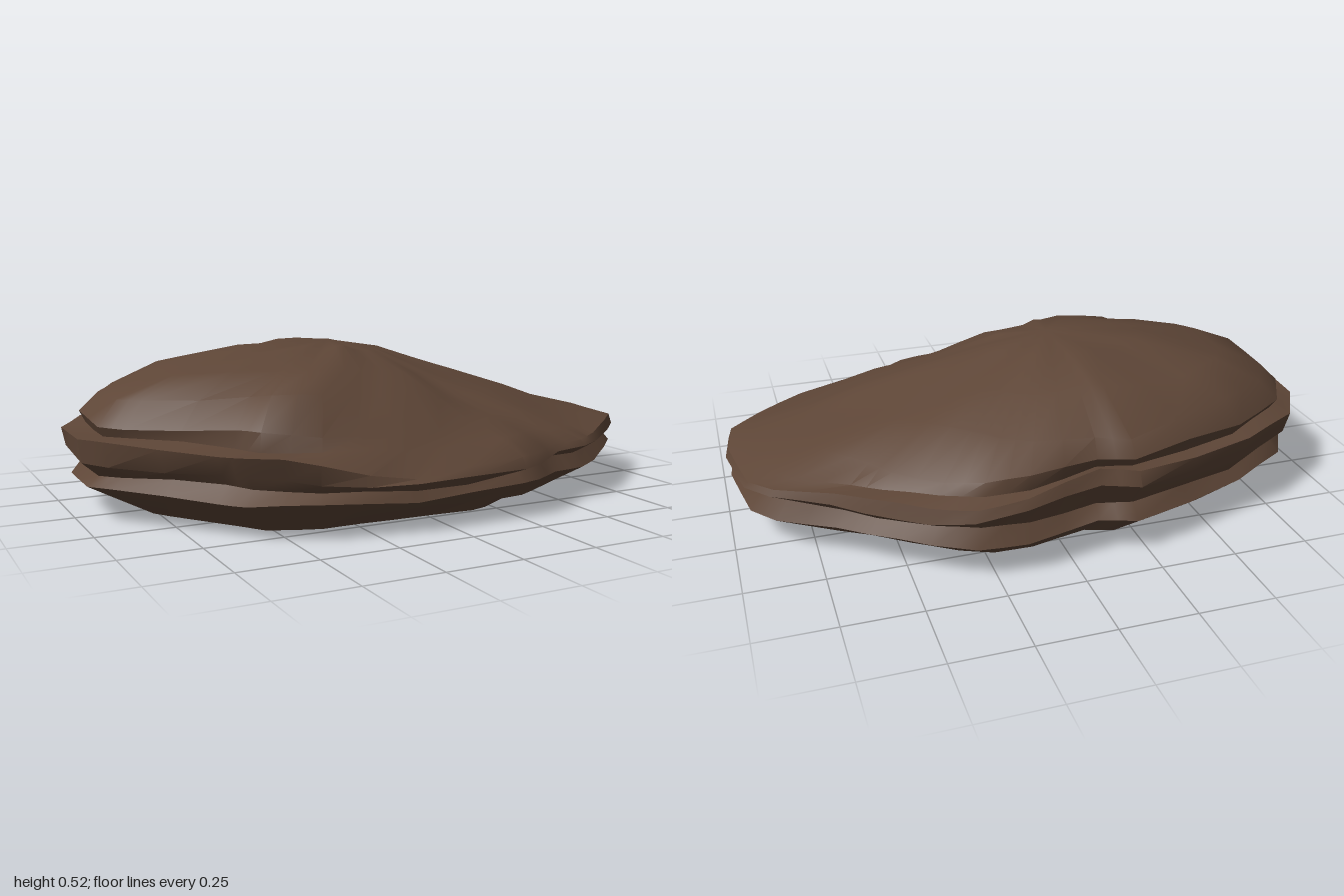
import * as THREE from 'three';
import { toCreasedNormals } from 'three/addons/utils/BufferGeometryUtils.js';

// Plan outline of the rock as [x, z], starting at +x and turning towards +z
const OUTLINE = [
  [0.99, 0.05], [0.97, 0.2], [0.86, 0.31], [0.7, 0.45], [0.6, 0.51], [0.47, 0.53], [0.34, 0.62],
  [0.26, 0.65], [-0.13, 0.66], [-0.43, 0.61], [-0.62, 0.51], [-0.68, 0.43], [-0.94, 0.16],
  [-1, 0.08], [-0.99, -0.2], [-0.89, -0.37], [-0.65, -0.52], [-0.21, -0.66], [-0.09, -0.62],
  [0.16, -0.67], [0.32, -0.66], [0.45, -0.6], [0.62, -0.48], [0.71, -0.4], [0.88, -0.29], [0.95, -0.2],
];

// Scale of the flat base in eight directions, 45 degrees apart
const BASE = [0.8, 0.76, 0.72, 0.8, 0.73, 0.78, 0.76, 0.78];

// Vertical profiles in the same directions, as [share of outline, height]:
// low rim, notch, middle rim, its top, inset, top rim, shoulder, upper dome, crown
const PROFILES = [
  [[0.99, 0.11], [0.95, 0.17], [1, 0.185], [0.99, 0.21], [0.92, 0.23], [0.76, 0.28], [0.6, 0.34], [0.41, 0.4], [0.2, 0.48]],
  [[0.99, 0.11], [0.95, 0.15], [1, 0.17], [0.98, 0.2], [0.88, 0.24], [0.74, 0.29], [0.57, 0.35], [0.4, 0.42], [0.2, 0.49]],
  [[0.98, 0.1], [0.96, 0.125], [1, 0.15], [0.97, 0.17], [0.86, 0.24], [0.79, 0.28], [0.6, 0.39], [0.4, 0.45], [0.2, 0.51]],
  [[1, 0.11], [0.93, 0.15], [0.96, 0.18], [1, 0.25], [0.85, 0.25], [0.84, 0.3], [0.72, 0.4], [0.5, 0.46], [0.22, 0.51]],
  [[0.97, 0.11], [0.93, 0.15], [0.99, 0.19], [1, 0.26], [0.91, 0.27], [0.93, 0.3], [0.86, 0.37], [0.69, 0.44], [0.37, 0.5]],
  [[0.97, 0.11], [0.92, 0.15], [0.97, 0.2], [1, 0.27], [0.92, 0.28], [0.95, 0.32], [0.87, 0.39], [0.68, 0.45], [0.35, 0.505]],
  [[0.98, 0.11], [0.92, 0.16], [1, 0.25], [0.97, 0.29], [0.9, 0.28], [0.93, 0.32], [0.88, 0.37], [0.6, 0.47], [0.3, 0.515]],
  [[0.98, 0.11], [0.94, 0.16], [1, 0.2], [0.98, 0.24], [0.91, 0.25], [0.88, 0.29], [0.66, 0.38], [0.45, 0.44], [0.22, 0.495]],
];
const CENTRE = [-0.12, 0];

// Corners of the outline plus the middle of each edge
function planPoints() {
  return OUTLINE.flatMap(([x, z], i) => {
    const [nx, nz] = OUTLINE[(i + 1) % OUTLINE.length];
    return [[x, z], [(x + nx) / 2, (z + nz) / 2]];
  });
}

// One vertical column of points at a plan position, blended from two profiles
function column([x, z]) {
  const dx = x - CENTRE[0], dz = z - CENTRE[1];
  const angle = (Math.atan2(dz, dx) + Math.PI * 2) % (Math.PI * 2);
  const turn = angle / (Math.PI / 4);
  const k = Math.floor(turn) % 8, n = (k + 1) % 8;
  const t = THREE.MathUtils.smoothstep(turn - Math.floor(turn), 0, 1);
  const mix = (a, b) => a + (b - a) * t;
  const points = [[mix(BASE[k], BASE[n]), 0]];
  PROFILES[k].forEach(([s, y], level) => {
    const [s2, y2] = PROFILES[n][level];
    // slight unevenness so that the strata do not run level
    const wave = 0.006 * Math.sin(angle * 7 + level * 1.9);
    points.push([mix(s, s2), mix(y, y2) + wave]);
  });
  return points.map(([s, y]) => [CENTRE[0] + dx * s, y, CENTRE[1] + dz * s]);
}

function rockGeometry() {
  const columns = planPoints().map(column);
  const levels = columns[0].length, count = columns.length;
  const positions = columns.flat(2);
  const apex = count * levels, under = apex + 1;
  positions.push(CENTRE[0], 0.525, CENTRE[1], CENTRE[0], 0, CENTRE[1]);

  const index = [];
  for (let i = 0; i < count; i++) {
    const here = i * levels, next = ((i + 1) % count) * levels;
    for (let l = 0; l < levels - 1; l++) {
      index.push(here + l, here + l + 1, next + l, next + l, here + l + 1, next + l + 1);
    }
    index.push(here + levels - 1, apex, next + levels - 1); // top
    index.push(here, next, under); // underside
  }
  const geometry = new THREE.BufferGeometry();
  geometry.setAttribute('position', new THREE.Float32BufferAttribute(positions, 3));
  geometry.setIndex(index);
  return toCreasedNormals(geometry, 0.6);
}

export function createModel() {
  const group = new THREE.Group();
  group.name = 'layeredRock';
  const stone = new THREE.MeshStandardMaterial({ color: 0x5e4637 });
  stone.name = 'brown stone';
  const rock = new THREE.Mesh(rockGeometry(), stone);
  rock.name = 'rock';
  group.add(rock);
  return group;
}
